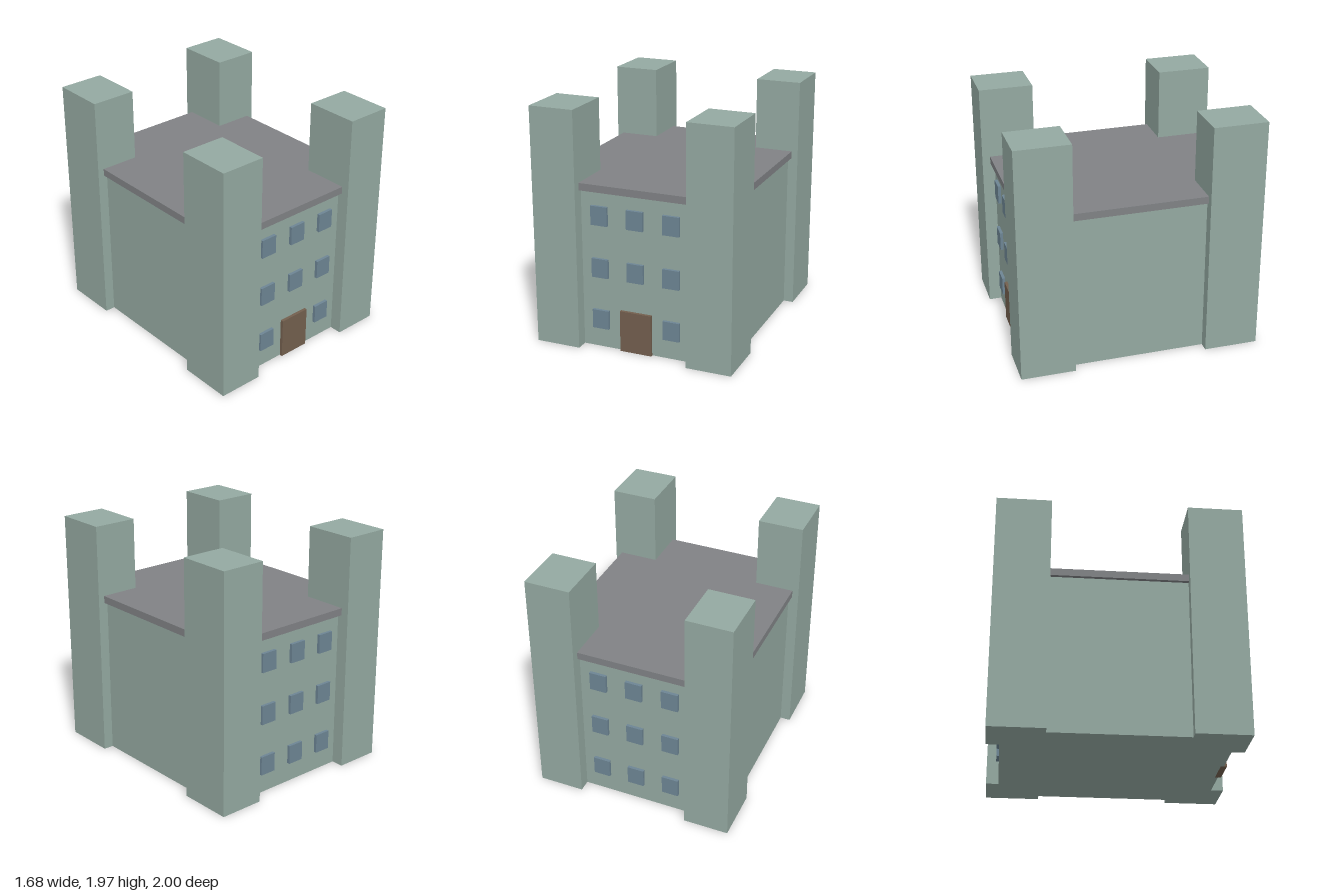
import * as THREE from 'three';

const material = (name, color) => {
  const m = new THREE.MeshStandardMaterial({ color });
  m.name = name;
  return m;
};

export function createModel() {
  const wall = material('pale green stone', 0x94a9a1);
  const slate = material('grey slate', 0x808285);
  const glass = material('blue glass', 0x6d8594);
  const wood = material('brown wood', 0x735f4e);

  const group = new THREE.Group();
  group.name = 'castle';

  // Box given by its size, centre x / z and bottom height
  const box = (name, mat, [w, h, d], x, bottom, z) => {
    const mesh = new THREE.Mesh(new THREE.BoxGeometry(w, h, d), mat);
    mesh.name = name;
    mesh.position.set(x, bottom + h / 2, z);
    group.add(mesh);
  };

  const wallZ = 0.897;

  // Main block and overhanging flat roof
  box('mainBlock', wall, [1.514, 1.315, wallZ * 2], 0, 0, 0);
  box('roof', slate, [1.574, 0.06, 1.868], 0, 1.315, 0);

  // Four corner towers
  for (const sx of [-1, 1]) {
    for (const sz of [-1, 1]) {
      box('cornerTower', wall, [0.375, 1.97, 0.447], sx * 0.6525, 0, sz * 0.7765);
    }
  }

  // Front door
  box('door', wood, [0.268, 0.345, 0.05], 0, 0, wallZ);

  // Window grid on front and back; the door takes the front's lower middle place
  for (const side of [-1, 1]) {
    [0.165, 0.603, 1.04].forEach((bottom, row) => {
      for (const x of [-0.305, 0, 0.305]) {
        if (side === 1 && row === 0 && x === 0) continue;
        box('window', glass, [0.14, 0.158, 0.05], x, bottom, side * wallZ);
      }
    });
  }

  return group;
}
